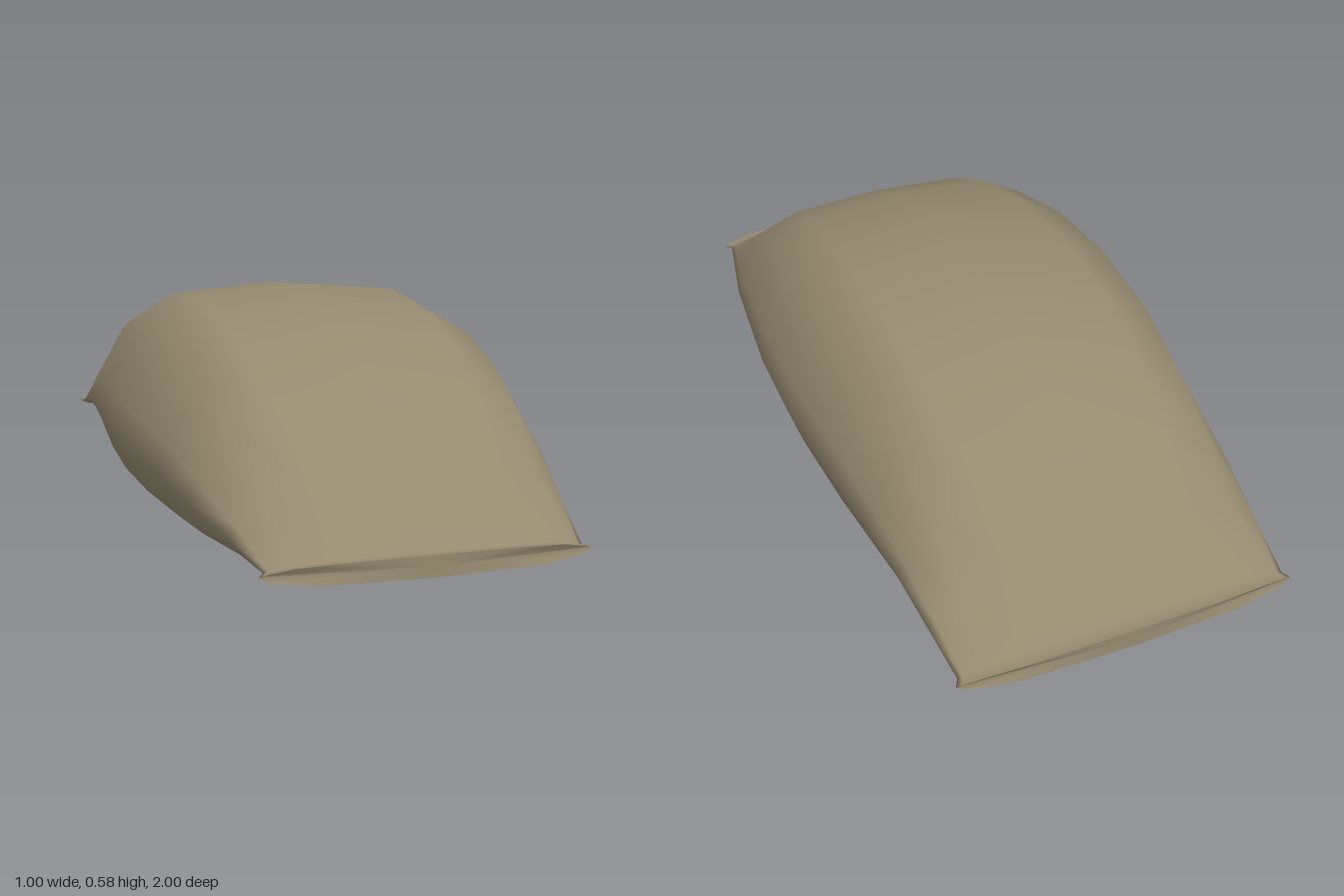
import * as THREE from 'three';

// Half outline of the sack, from top centre round the left side to bottom centre (unit size)
const half = [[0, 1], [0.56, 0.935], [0.81, 0.73], [0.97, 0.235], [1, 0], [0.93, -0.5], [0.66, -0.87], [0, -1]];
const outline = [...half, ...half.slice(1, -1).reverse().map(([u, v]) => [-u, v])];

// Cross-sections from front to back: z, half width, bottom, widest height, top
const sections = [
  [1.0, 0.38, 0.08, 0.106, 0.13],
  [0.955, 0.365, 0.1, 0.11, 0.122],
  [0.8, 0.4, 0.065, 0.145, 0.27],
  [0.62, 0.44, 0.033, 0.175, 0.415],
  [0.44, 0.465, 0.012, 0.197, 0.503],
  [0.22, 0.492, 0.005, 0.212, 0.56],
  [-0.03, 0.5, 0.002, 0.215, 0.58],
  [-0.29, 0.486, 0.003, 0.212, 0.555],
  [-0.5, 0.465, 0.013, 0.195, 0.49],
  [-0.67, 0.449, 0.04, 0.175, 0.39],
  [-0.82, 0.436, 0.073, 0.145, 0.26],
  [-0.955, 0.422, 0.1, 0.11, 0.124],
  [-1.0, 0.434, 0.08, 0.106, 0.13],
];

// Corners of the sealed lips curve slightly inwards
function ring([z, w, bottom, mid, top]) {
  return outline.map(([u, v]) => [
    u * w,
    mid + v * (v > 0 ? top - mid : mid - bottom),
    z - (Math.abs(z) > 0.99 ? Math.sign(z) * 0.025 * u ** 4 : 0),
  ]);
}

function geometryFrom(points, index) {
  const geometry = new THREE.BufferGeometry();
  geometry.setAttribute('position', new THREE.Float32BufferAttribute(points.flat(), 3));
  geometry.setIndex(index);
  geometry.computeVertexNormals();
  return geometry;
}

export function createModel() {
  const group = new THREE.Group();
  group.name = 'sack';
  const material = new THREE.MeshStandardMaterial({ color: 0x958a70, side: THREE.DoubleSide });
  const n = outline.length;
  const add = (name, geometry) => {
    const mesh = new THREE.Mesh(geometry, material);
    mesh.name = name;
    group.add(mesh);
  };

  // Stuffed body with pinched, flared ends
  const index = [];
  for (let i = 0; i < sections.length - 1; i++) {
    for (let j = 0; j < n; j++) {
      const a = i * n + j, b = i * n + (j + 1) % n;
      index.push(a, b, a + n, b, b + n, a + n);
    }
  }
  add('sackBody', geometryFrom(sections.flatMap(ring), index));

  // Closed faces of the two sealed ends
  for (const [name, section, front] of [['frontSeam', sections[0], true], ['backSeam', sections.at(-1), false]]) {
    const points = [...ring(section), [0, section[3], section[0]]];
    const faces = [];
    for (let j = 0; j < n; j++) {
      const k = (j + 1) % n;
      faces.push(n, front ? k : j, front ? j : k);
    }
    add(name, geometryFrom(points, faces));
  }
  return group;
}
